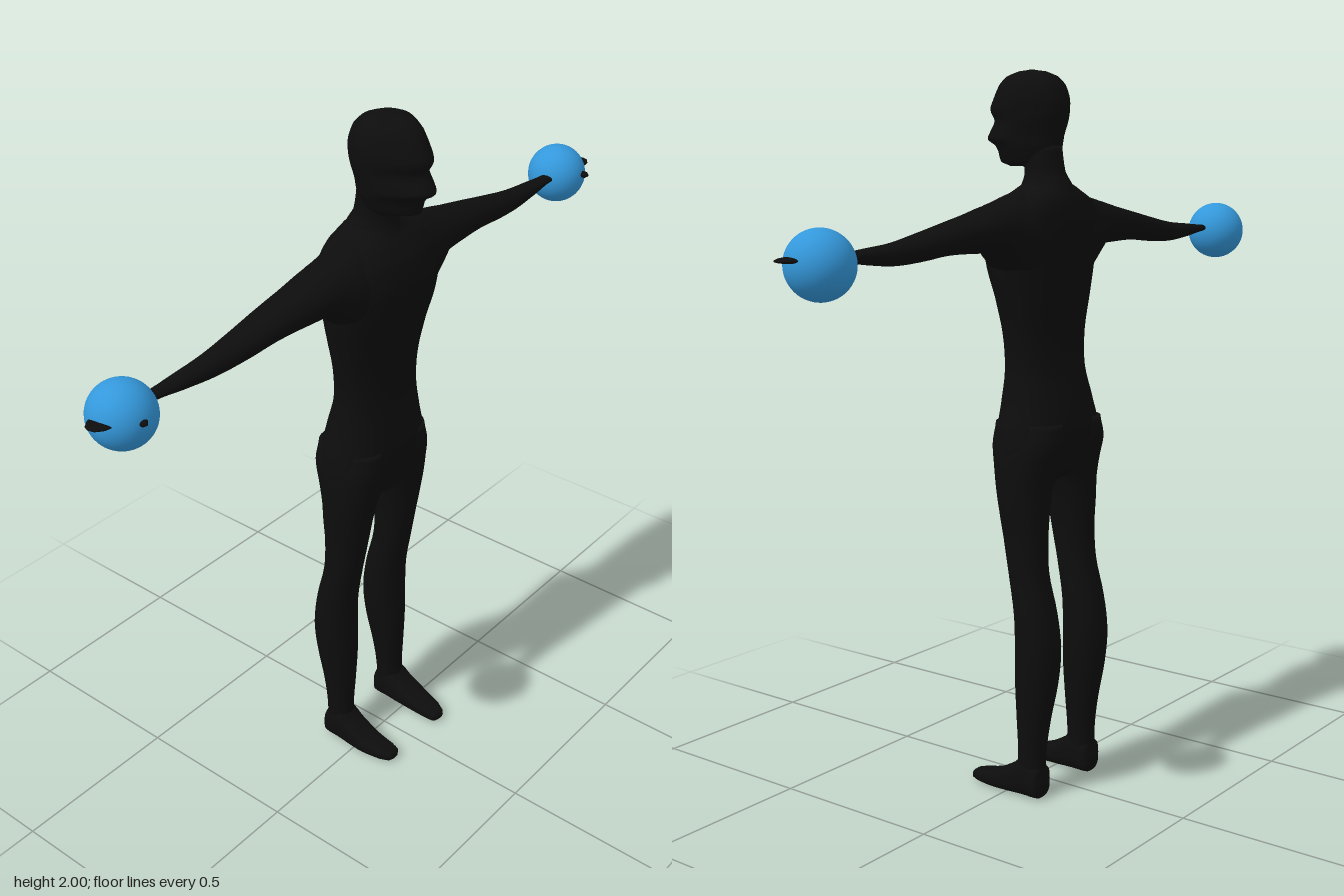
import * as THREE from 'three';

const bodyBlack = new THREE.MeshStandardMaterial({ color: 0x0d0d0d });
bodyBlack.name = 'body black';
const ballBlue = new THREE.MeshStandardMaterial({ color: 0x3498db });
ballBlue.name = 'ball blue';

// Smooth loft along an axis. Rows are [t, uMin, uMax, vMin, vMax] with t rising;
// (t, u, v) is (x, y, z), (y, z, x) or (z, x, y).
function loft(name, axis, rows, { side = 1, power = 1, point = 0, steps = 4, sides = 32 } = {}) {
  const start = { x: 0, y: 1, z: 2 }[axis];
  const pos = [], index = [];
  const put = (t, u, v) => {
    const p = [0, 0, 0];
    [t, u, v].forEach((value, k) => { p[(start + k) % 3] = value; });
    pos.push(p[0] * side, p[1], p[2]);
  };
  const tri = (a, b, c) => (side > 0 ? index.push(a, b, c) : index.push(a, c, b));
  const spline = (a, b, c, d, f) =>
    b + 0.5 * f * (c - a + f * (2 * a - 5 * b + 4 * c - d + f * (3 * (b - c) + d - a)));
  const last = rows.length - 1;
  const rings = [];
  for (let i = 0; i < last; i++) {
    for (let s = 0; s < steps; s++) {
      const f = s / steps;
      rings.push(rows[i].map((b, k) => {
        const a = rows[Math.max(i - 1, 0)][k], c = rows[i + 1][k], d = rows[Math.min(i + 2, last)][k];
        return k === 0 ? b + (c - b) * f : spline(a, b, c, d, f);
      }));
    }
  }
  rings.push(rows[last]);
  const bend = (n) => Math.sign(n) * Math.abs(n) ** power;
  for (const [t, u0, u1, v0, v1] of rings) {
    for (let j = 0; j < sides; j++) {
      const angle = (j / sides) * Math.PI * 2;
      const c = bend(Math.cos(angle));
      const s = bend(Math.sin(angle)) * (1 - point * Math.max(c, 0));
      put(t, (u0 + u1) / 2 + c * (u1 - u0) / 2, (v0 + v1) / 2 + s * (v1 - v0) / 2);
    }
  }
  for (let i = 0; i < rings.length - 1; i++) {
    for (let j = 0; j < sides; j++) {
      const a = i * sides + j, b = i * sides + (j + 1) % sides;
      tri(a, b, b + sides);
      tri(a, b + sides, a + sides);
    }
  }
  // End caps
  [0, rings.length - 1].forEach((r, end) => {
    const [t, u0, u1, v0, v1] = rings[r];
    const centre = pos.length / 3;
    put(t, (u0 + u1) / 2, (v0 + v1) / 2);
    for (let j = 0; j < sides; j++) {
      const a = r * sides + j, b = r * sides + (j + 1) % sides;
      if (end) tri(a, b, centre); else tri(b, a, centre);
    }
  });
  const geometry = new THREE.BufferGeometry();
  geometry.setAttribute('position', new THREE.Float32BufferAttribute(pos, 3));
  geometry.setIndex(index);
  geometry.computeVertexNormals();
  const mesh = new THREE.Mesh(geometry, bodyBlack);
  mesh.name = name;
  return mesh;
}

export function createModel() {
  const model = new THREE.Group();
  model.name = 'figure';

  // Trunk from crotch to collar: height, back, front, half-width
  const trunk = [
    [0.88, -0.06, 0.0, 0.02], [0.91, -0.11, 0.04, 0.1], [0.96, -0.135, 0.055, 0.172],
    [1.03, -0.148, 0.065, 0.172], [1.1, -0.138, 0.06, 0.155], [1.2, -0.113, 0.05, 0.138],
    [1.3, -0.108, 0.052, 0.145], [1.4, -0.118, 0.07, 0.165], [1.48, -0.126, 0.092, 0.182],
    [1.56, -0.132, 0.098, 0.195], [1.62, -0.13, 0.083, 0.19], [1.66, -0.122, 0.058, 0.15],
    [1.69, -0.106, 0.032, 0.085], [1.71, -0.09, 0.02, 0.05],
  ].map(([y, back, front, w]) => [y, back, front, -w, w]);
  model.add(loft('trunk', 'y', trunk, { power: 0.85 }));

  const neck = [
    [1.65, -0.122, 0.06, 0.1], [1.69, -0.108, 0.035, 0.075],
    [1.73, -0.085, 0.025, 0.056], [1.8, -0.074, 0.04, 0.056],
  ].map(([y, back, front, w]) => [y, back, front, -w, w]);
  model.add(loft('neck', 'y', neck));

  // Head with chin, nose and brow in its front profile
  const head = [
    [1.745, -0.04, 0.085, 0.045], [1.755, -0.06, 0.113, 0.06], [1.785, -0.07, 0.122, 0.073],
    [1.8, -0.074, 0.132, 0.079], [1.815, -0.077, 0.156, 0.083], [1.83, -0.08, 0.152, 0.085],
    [1.865, -0.09, 0.132, 0.089], [1.895, -0.095, 0.146, 0.093], [1.925, -0.093, 0.134, 0.093],
    [1.96, -0.08, 0.115, 0.084], [1.982, -0.058, 0.092, 0.067], [1.995, -0.025, 0.055, 0.038],
    [2.0, 0.01, 0.02, 0.005],
  ].map(([y, back, front, w]) => [y, back, front, -w, w]);
  model.add(loft('head', 'y', head, { point: 0.3 }));

  for (const side of [1, -1]) {
    const label = side > 0 ? 'left' : 'right';

    // Leg: height, back, front, inner, outer
    model.add(loft(label + 'Leg', 'y', [
      [0.03, -0.115, -0.03, 0.08, 0.16], [0.12, -0.113, -0.037, 0.079, 0.158],
      [0.22, -0.125, -0.032, 0.07, 0.162], [0.33, -0.146, -0.028, 0.057, 0.171],
      [0.43, -0.153, -0.03, 0.05, 0.177], [0.53, -0.14, -0.026, 0.053, 0.174],
      [0.64, -0.114, -0.006, 0.058, 0.168], [0.74, -0.109, 0.013, 0.053, 0.169],
      [0.82, -0.112, 0.027, 0.044, 0.176], [0.88, -0.115, 0.038, 0.03, 0.18],
      [0.94, -0.13, 0.05, 0.008, 0.18], [1.0, -0.148, 0.06, 0.004, 0.175],
      [1.06, -0.142, 0.055, 0.015, 0.16],
    ], { side, power: 0.9 }));

    // Foot, heel to toe: z, inner, outer, sole, top
    model.add(loft(label + 'Foot', 'z', [
      [-0.12, 0.1, 0.14, 0.015, 0.05], [-0.11, 0.083, 0.158, 0.0, 0.09],
      [-0.06, 0.077, 0.164, 0.0, 0.115], [-0.02, 0.077, 0.165, 0.0, 0.085],
      [0.04, 0.08, 0.163, 0.0, 0.052], [0.1, 0.083, 0.15, 0.0, 0.036],
      [0.125, 0.088, 0.138, 0.002, 0.028], [0.133, 0.1, 0.128, 0.008, 0.02],
    ], { side, power: 0.7 }));

    // Arm and hand: x, bottom, top, back, front
    model.add(loft(label + 'Arm', 'x', [
      [0.08, 1.42, 1.685, -0.122, 0.07], [0.14, 1.44, 1.675, -0.118, 0.07],
      [0.19, 1.485, 1.66, -0.108, 0.06], [0.23, 1.52, 1.65, -0.1, 0.05],
      [0.32, 1.527, 1.63, -0.092, 0.038], [0.42, 1.528, 1.61, -0.084, 0.026],
      [0.52, 1.519, 1.59, -0.076, 0.015], [0.62, 1.515, 1.572, -0.068, 0.002],
      [0.72, 1.524, 1.563, -0.061, -0.008], [0.81, 1.536, 1.556, -0.055, -0.015],
      [0.87, 1.535, 1.56, -0.065, 0.0], [0.93, 1.54, 1.56, -0.068, 0.004],
      [0.975, 1.542, 1.556, -0.062, 0.0], [0.995, 1.545, 1.553, -0.048, -0.014],
      [1.0, 1.548, 1.55, -0.038, -0.026],
    ], { side }));

    // Thumb: z, inner, outer, bottom, top
    model.add(loft(label + 'Thumb', 'z', [
      [-0.03, 0.86, 0.9, 1.537, 1.56], [0.02, 0.883, 0.911, 1.537, 1.557],
      [0.042, 0.888, 0.911, 1.538, 1.555], [0.05, 0.896, 0.904, 1.543, 1.55],
    ], { side, sides: 16 }));

    // Ball round the hand
    const ball = new THREE.Mesh(new THREE.SphereGeometry(0.085, 40, 28), ballBlue);
    ball.name = label + 'Ball';
    ball.position.set(side > 0 ? 0.885 : -0.89, 1.535, side > 0 ? -0.05 : -0.042);
    model.add(ball);
  }
  return model;
}
